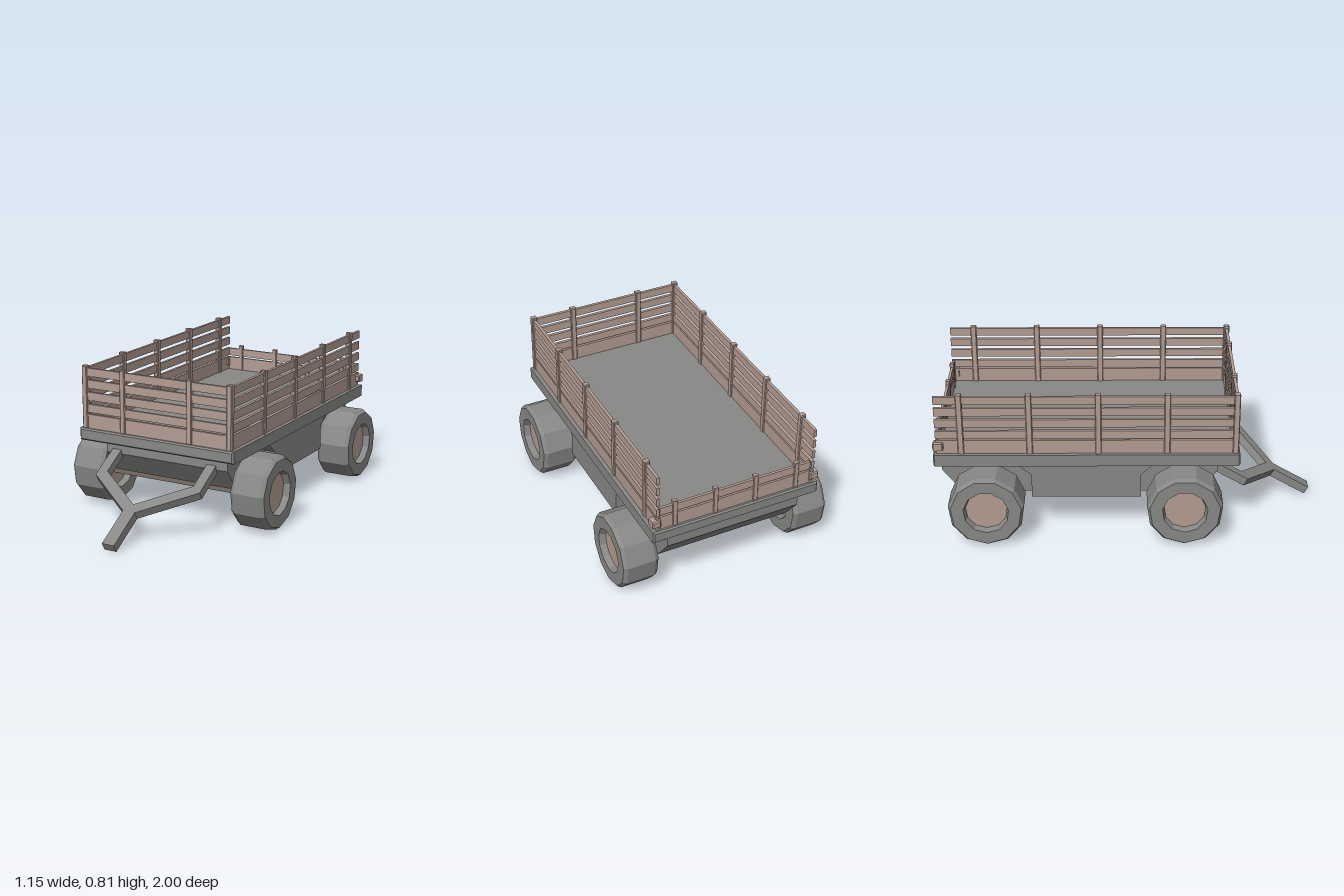
import * as THREE from 'three';

const grey = new THREE.MeshStandardMaterial({ color: 0x888886 });
grey.name = 'painted grey';
const wood = new THREE.MeshStandardMaterial({ color: 0xb39d93 });
wood.name = 'pale wood';

// Adds a mesh with faceted normals
function add(parent, name, geometry, material, x = 0, y = 0, z = 0) {
  const geo = geometry.index ? geometry.toNonIndexed() : geometry;
  geo.computeVertexNormals();
  const mesh = new THREE.Mesh(geo, material);
  mesh.name = name;
  mesh.position.set(x, y, z);
  parent.add(mesh);
  return mesh;
}

const toShape = (pts) => new THREE.Shape(pts.map(([a, b]) => new THREE.Vector2(a, b)));

// Box with chamfered edges, centred on the origin
function chamferBox(w, h, d, c) {
  const a = w / 2 - c, b = h / 2 - c;
  const geo = new THREE.ExtrudeGeometry(toShape([[-a, -b], [a, -b], [a, b], [-a, b]]), {
    depth: d - 2 * c, bevelEnabled: true, bevelSize: c, bevelThickness: c, bevelSegments: 1,
  });
  return geo.translate(0, 0, c - d / 2);
}

// Side profile of [z, y] points extruded across the width
function acrossWidth(pts, width) {
  const geo = new THREE.ExtrudeGeometry(toShape(pts), { depth: width, bevelEnabled: false });
  return geo.translate(0, 0, -width / 2).rotateY(-Math.PI / 2);
}

function addWheel(parent, x, z) {
  const wheel = new THREE.Group();
  wheel.name = 'wheel';
  wheel.position.set(x, 0.2, z);
  const profile = [[0.107, -0.055], [0.118, -0.095], [0.184, -0.095], [0.198, -0.075],
    [0.198, 0.075], [0.184, 0.095], [0.118, 0.095], [0.107, 0.055]]
    .map(([r, y]) => new THREE.Vector2(r, y));
  const tyre = new THREE.LatheGeometry(profile, 11, Math.PI / 2).rotateZ(-Math.PI / 2);
  add(wheel, 'tyre', tyre, grey);
  const hub = new THREE.CylinderGeometry(0.109, 0.109, 0.12, 11, 1, false, Math.PI / 2).rotateZ(-Math.PI / 2);
  add(wheel, 'hub', hub, wood);
  parent.add(wheel);
}

export function createModel() {
  const wagon = new THREE.Group();
  wagon.name = 'farmWagon';
  const floorY = 0.475;

  // Deck and underbody
  add(wagon, 'deck', chamferBox(0.915, 0.065, 1.58, 0.008), grey, -0.002, 0.4425, -0.21);
  add(wagon, 'underbody', acrossWidth([[0.47, 0.415], [-0.97, 0.415], [-0.97, 0.34],
    [-0.87, 0.21], [0.38, 0.21], [0.47, 0.33]], 0.73), grey);
  add(wagon, 'sideSkirts', acrossWidth([[0.15, 0.415], [-0.59, 0.415], [-0.5, 0.34],
    [-0.5, 0.209], [0.07, 0.209], [0.07, 0.34]], 0.85), grey);

  // Wheels and axles
  for (const z of [0.295, -0.73]) {
    for (const side of [-1, 1]) addWheel(wagon, side * 0.48, z);
    const axle = new THREE.CylinderGeometry(0.04, 0.04, 0.86, 6).rotateZ(Math.PI / 2);
    add(wagon, 'axle', axle, wood, 0, 0.197, z);
  }

  // Forked drawbar, drawn flat and then tilted down towards the front
  const half = [[0.035, 0.612], [0.035, 0.388], [0.312, 0.19], [0.312, -0.01], [0.258, -0.01], [0.258, 0.155]];
  const outline = [...half, [0, 0.337], ...half.slice().reverse().map(([x, y]) => [-x, y])];
  const drawbar = new THREE.ExtrudeGeometry(toShape(outline), { depth: 0.045, bevelEnabled: false });
  drawbar.translate(0, 0, -0.0225).rotateX(THREE.MathUtils.degToRad(120.3));
  add(wagon, 'drawbar', drawbar, grey, -0.015, 0.332, 0.46);

  // Slatted sides: bottom and top of each plank
  const planks = [[0.475, 0.55], [0.56, 0.604], [0.625, 0.669], [0.69, 0.734], [0.754, 0.797]];
  const sideLength = 1.55;

  for (const side of [-1, 1]) {
    const rack = new THREE.Group();
    rack.name = side > 0 ? 'leftRack' : 'rightRack';
    const x = side * 0.428 - 0.002;
    for (const [low, high] of planks) {
      add(rack, 'plank', new THREE.BoxGeometry(0.016, high - low, sideLength), wood, x, (low + high) / 2, -0.21);
    }
    for (let i = 0; i < 5; i++) {
      add(rack, 'post', chamferBox(0.03, 0.336, 0.032, 0.004), wood, x, floorY + 0.166, 0.555 - 0.3525 * i);
    }
    // Tailgate hinge block
    add(rack, 'hingeBlock', chamferBox(0.045, 0.04, 0.055, 0.006), wood, side * 0.436, 0.52, -0.972);
    wagon.add(rack);
  }

  // Front rack
  const front = new THREE.Group();
  front.name = 'frontRack';
  for (const [low, high] of planks) {
    add(front, 'plank', new THREE.BoxGeometry(0.85, high - low, 0.016), wood, -0.002, (low + high) / 2, 0.555);
  }
  for (const x of [-0.2, 0.196]) {
    add(front, 'post', chamferBox(0.03, 0.336, 0.03, 0.004), wood, x, floorY + 0.166, 0.555);
  }
  wagon.add(front);

  // Low tailgate
  const tailgate = new THREE.Group();
  tailgate.name = 'tailgate';
  for (const [low, high] of planks.slice(0, 2)) {
    add(tailgate, 'plank', new THREE.BoxGeometry(0.83, high - low, 0.014), wood, -0.002, (low + high) / 2, -0.975);
  }
  for (const x of [-0.337, -0.108, 0.112, 0.333]) {
    add(tailgate, 'post', chamferBox(0.026, 0.153, 0.024, 0.003), wood, x, floorY + 0.0745, -0.975);
  }
  wagon.add(tailgate);

  return wagon;
}
